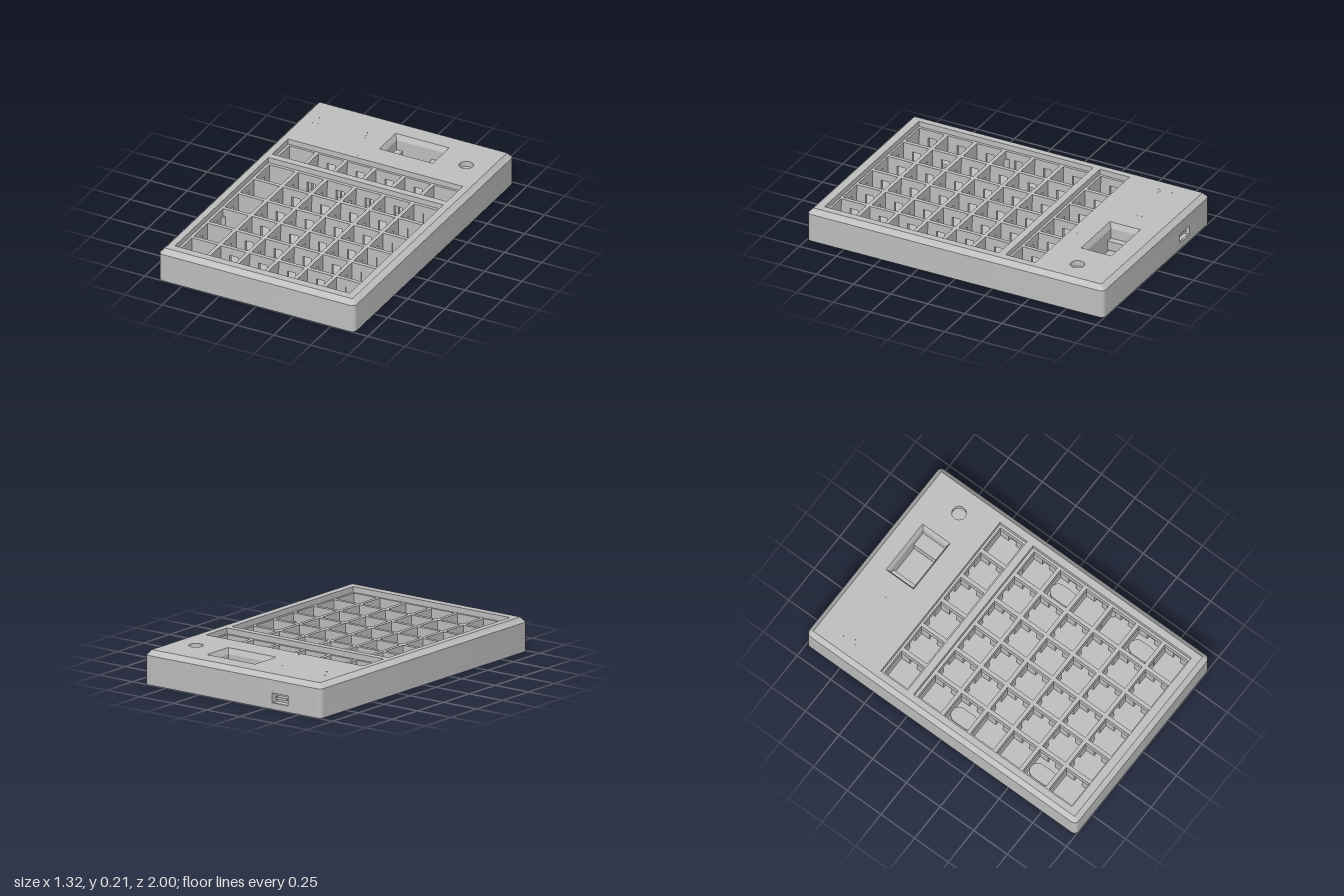
import * as THREE from 'three';
import { toCreasedNormals } from 'three/addons/utils/BufferGeometryUtils.js';

const PITCH = 0.1945, CELL = 0.17;
const W = 0.66, D = 1, SHOULDER = 0.18, TOP = 0.21, CHAMFER = 0.03;
const PLATE_TOP = 0.175, PLATE_LOW = 0.125, FLOOR = 0.04;

// Rectangle in plan (x, z), optionally with rounded corners
function rectPoints(x0, x1, z0, z1, r = 0, steps = 6) {
  if (r === 0) return [[x1, z1], [x0, z1], [x0, z0], [x1, z0]].map(p => new THREE.Vector2(...p));
  const pts = [];
  [[x1 - r, z1 - r], [x0 + r, z1 - r], [x0 + r, z0 + r], [x1 - r, z0 + r]].forEach(([cx, cz], q) => {
    for (let i = 0; i <= steps; i++) {
      const a = (q + i / steps) * Math.PI / 2;
      pts.push(new THREE.Vector2(cx + r * Math.cos(a), cz + r * Math.sin(a)));
    }
  });
  return pts;
}

function circlePoints(x, z, r, n = 28) {
  return Array.from({ length: n }, (_, i) => {
    const a = i / n * Math.PI * 2;
    return new THREE.Vector2(x + r * Math.cos(a), z + r * Math.sin(a));
  });
}

// Round head at z + 0.03 with a narrow slot running back
function keyholePoints(x, z) {
  const head = 0.03, slot = 0.014, pts = [];
  const a0 = -Math.PI / 2 + Math.asin(slot / head);
  for (let i = 0; i <= 20; i++) {
    const a = a0 + (2 * Math.PI - 2 * Math.asin(slot / head)) * i / 20;
    pts.push(new THREE.Vector2(x + head * Math.cos(a), z + 0.03 + head * Math.sin(a)));
  }
  for (let i = 0; i <= 8; i++) {
    const a = Math.PI + Math.PI * i / 8;
    pts.push(new THREE.Vector2(x + slot * Math.cos(a), z - 0.05 + slot * Math.sin(a)));
  }
  return pts;
}

// Plan outline with holes, filled between two heights
function slab(points, holes, y0, y1) {
  const shape = new THREE.Shape(points);
  shape.holes = holes.map(h => new THREE.Path(h));
  const g = new THREE.ExtrudeGeometry(shape, { depth: y1 - y0, bevelEnabled: false });
  g.rotateX(Math.PI / 2).translate(0, y1, 0);
  return toCreasedNormals(g, 0.6);
}

// Sloping band between two plan outlines with equal point counts
function band(lower, upper, y0, y1) {
  const pos = [], n = lower.length;
  for (let i = 0; i < n; i++) {
    const j = (i + 1) % n;
    const a = [lower[i].x, y0, lower[i].y], b = [lower[j].x, y0, lower[j].y];
    const c = [upper[j].x, y1, upper[j].y], d = [upper[i].x, y1, upper[i].y];
    pos.push(...a, ...c, ...b, ...a, ...d, ...c);
  }
  const g = new THREE.BufferGeometry();
  g.setAttribute('position', new THREE.Float32BufferAttribute(pos, 3));
  return toCreasedNormals(g, 0.6);
}

export function createModel() {
  const model = new THREE.Group();
  const grey = new THREE.MeshStandardMaterial({ color: 0xc0c0c0 });
  grey.name = 'case grey';
  const add = (name, geometry, x = 0, y = 0, z = 0) => {
    const m = new THREE.Mesh(geometry, grey);
    m.name = name;
    m.position.set(x, y, z);
    model.add(m);
    return m;
  };
  const box = (name, w, h, d, x, y, z) => add(name, new THREE.BoxGeometry(w, h, d), x, y, z);

  // Outer walls in three courses; the middle one has the port pocket in the back
  const outline = rectPoints(-W, W, -D, D, 0.03);
  const inner = rectPoints(-0.592, 0.592, -0.93, 0.93);
  const notched = rectPoints(-W, W, -D, D, 0.03);
  const portX = -0.355, portW = 0.06;
  notched.splice(21, 0, ...[[portX - portW, -D], [portX - portW, -0.95], [portX + portW, -0.95], [portX + portW, -D]]
    .map(p => new THREE.Vector2(...p)));
  add('lowerWall', slab(outline, [rectPoints(-0.65, 0.65, -0.99, 0.99, 0.02)], 0, FLOOR));
  add('middleWall', slab(notched, [inner], FLOOR, 0.1));
  add('upperWall', slab(outline, [inner], 0.1, SHOULDER - 0.006));
  add('shoulderWall', band(outline, outline, SHOULDER - 0.006, SHOULDER));
  box('portTongue', 0.085, 0.014, 0.035, portX, 0.07, -0.967);

  // Chamfered rim
  const topEdge = rectPoints(-W + CHAMFER, W - CHAMFER, -D + CHAMFER, D - CHAMFER, 0.002);
  add('chamferedRim', band(outline, topEdge, SHOULDER, TOP));

  // Top panel with key trays, display window and round pocket
  add('topPanel', slab(topEdge, [
    rectPoints(-0.59, 0.585, -0.5, -0.3),
    rectPoints(-0.59, 0.585, -0.255, 0.92),
    rectPoints(-0.06, 0.3, -0.86, -0.655),
    circlePoints(0.485, -0.73, 0.043),
  ], PLATE_TOP, TOP));

  // Key plate with a square opening for every key
  const columns = Array.from({ length: 6 }, (_, i) => -0.488 + PITCH * i);
  const rows = [-0.4, ...Array.from({ length: 6 }, (_, i) => -0.15 + PITCH * i)];
  const h = CELL / 2;
  const openings = rows.flatMap(z => columns.map(x => rectPoints(x - h, x + h, z - h, z + h)));
  const windowHole = rectPoints(-0.045, 0.285, -0.845, -0.67);
  add('keyPlate', slab(rectPoints(-0.63, 0.63, -0.965, 0.965), [...openings, windowHole], PLATE_LOW, PLATE_TOP));

  // Cross-shaped ribs under the plate, leaving passages between cells
  const ribH = PLATE_LOW - FLOOR, ribY = (PLATE_LOW + FLOOR) / 2;
  const ribRows = [-0.497, -0.303, ...Array.from({ length: 7 }, (_, i) => -0.247 + PITCH * i)];
  for (const z of ribRows) {
    for (let i = 0; i < 7; i++) {
      const x = -0.585 + PITCH * i;
      box('ribAcross', 0.14, ribH, 0.02, THREE.MathUtils.clamp(x, -0.53, 0.53), ribY, z);
      box('ribAlong', 0.02, ribH, 0.14, x, ribY, z);
    }
  }

  // Display window: sloped frame, housing and side ledges
  add('windowBevel', band(rectPoints(-0.045, 0.285, -0.845, -0.67).reverse(),
    rectPoints(-0.06, 0.3, -0.86, -0.655).reverse(), PLATE_TOP, TOP));
  add('windowHousing', slab(rectPoints(-0.07, 0.31, -0.87, -0.645), [windowHole], FLOOR, PLATE_LOW));
  box('windowLedge', 0.045, 0.06, 0.18, -0.0265, 0.08, -0.757);
  box('windowLedge', 0.095, 0.06, 0.18, 0.2405, 0.08, -0.757);

  // Pin dots on the panel
  const dots = [[-0.55, -0.74], [-0.535, -0.74], [-0.52, -0.74], [-0.505, -0.74], [-0.545, -0.72],
    [-0.545, -0.81], [-0.21, -0.79], [-0.2, -0.76], [-0.19, -0.73], [-0.135, -0.53], [0.155, -0.555]];
  for (const [x, z] of dots) add('panelDot', new THREE.CylinderGeometry(0.004, 0.004, 0.002, 10), x, TOP, z);

  // Base plate with screw holes, hanging keyholes and shallow foot recesses
  const holes = [], feet = [];
  for (const s of [-1, 1]) {
    for (const z of [-0.95, 0.335, 0.95]) holes.push(circlePoints(s * 0.615, z, 0.03));
    for (const z of [0.045, 0.63]) {
      holes.push(keyholePoints(s * 0.488, z));
      add('keyholeBoss', slab(rectPoints(s * 0.488 - 0.05, s * 0.488 + 0.05, z - 0.09, z + 0.085, 0.0499), [], FLOOR, 0.06));
    }
    for (const z of [-0.863, 0.863]) feet.push(rectPoints(s * 0.447 - 0.108, s * 0.447 + 0.108, z - 0.095, z + 0.095));
    add('screwPost', new THREE.CylinderGeometry(0.036, 0.036, ribH, 24), s * 0.59, ribY, 0.335);
  }
  const base = rectPoints(-0.648, 0.648, -0.988, 0.988, 0.02);
  add('baseSkin', slab(base, [...holes, ...feet], 0.002, 0.008));
  add('basePlate', slab(base, holes, 0.008, FLOOR));
  return model;
}
